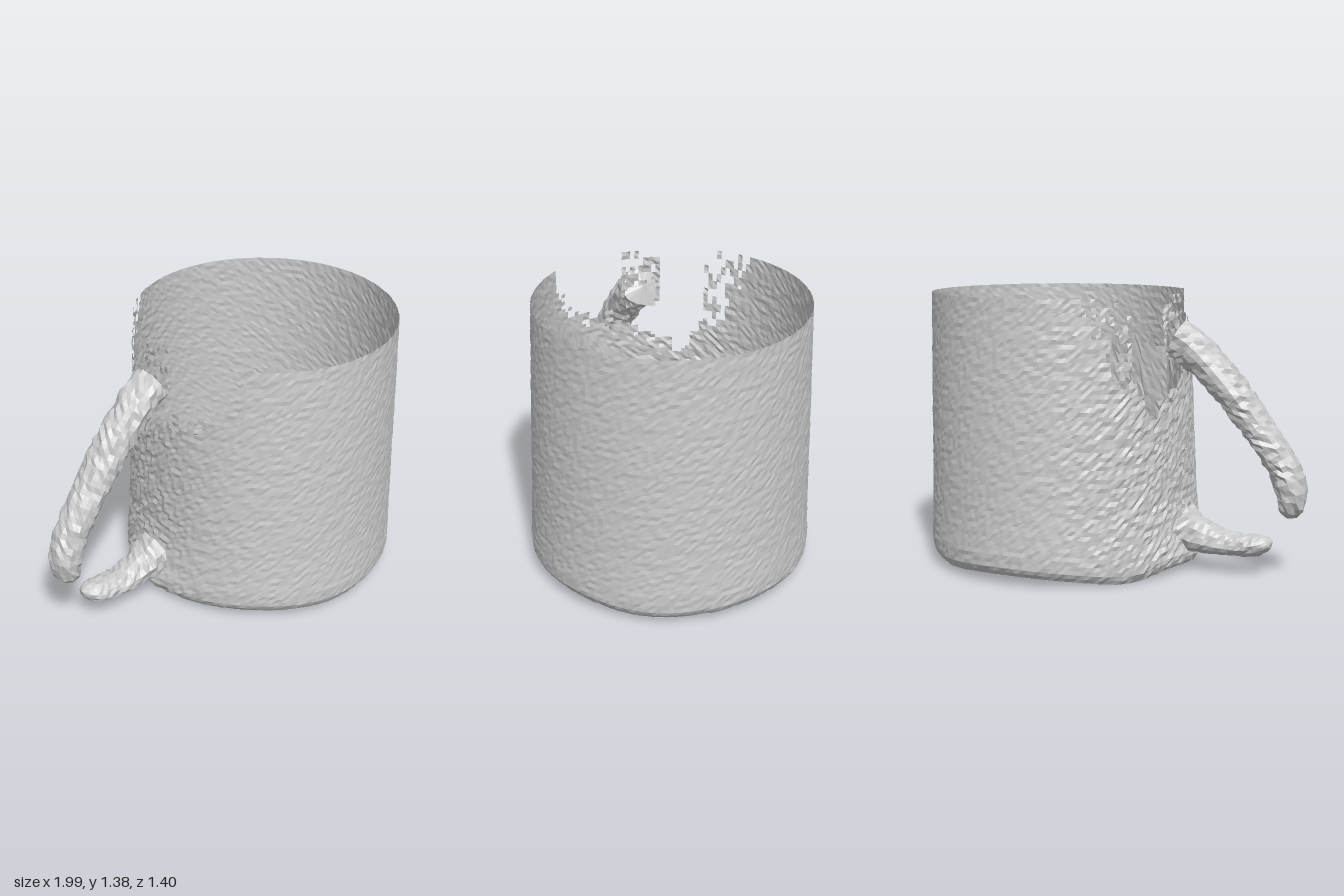
import * as THREE from 'three';

const material = new THREE.MeshStandardMaterial({
  color: 0xcccccc, flatShading: true, side: THREE.DoubleSide,
});

// Repeatable noise in 0..1 for a pair of integers
function hash(i, j) {
  const s = Math.sin(i * 127.1 + j * 311.7) * 43758.5453;
  return s - Math.floor(s);
}

// Linear interpolation through [key, value] pairs
function ramp(points, t) {
  if (t <= points[0][0]) return points[0][1];
  for (let i = 1; i < points.length; i++) {
    const [a, va] = points[i - 1], [b, vb] = points[i];
    if (t <= b) return va + (vb - va) * (t - a) / (b - a);
  }
  return points[points.length - 1][1];
}

// Bell curve centred on c with width w
const bell = (t, c, w) => Math.exp(-(((t - c) / w) ** 2));

// Grid surface closed around u; keep(i, j) decides which cells stay
function ringSurface(name, nu, nv, point, keep = () => true) {
  const positions = [], index = [];
  for (let j = 0; j <= nv; j++) {
    for (let i = 0; i < nu; i++) positions.push(...point(i, j));
  }
  for (let j = 0; j < nv; j++) {
    for (let i = 0; i < nu; i++) {
      if (!keep(i, j)) continue;
      const k = (i + 1) % nu;
      const a = j * nu + i, b = j * nu + k, c = a + nu, d = b + nu;
      index.push(a, c, b, b, c, d);
    }
  }
  const geometry = new THREE.BufferGeometry();
  geometry.setAttribute('position', new THREE.Float32BufferAttribute(positions, 3));
  geometry.setIndex(index);
  geometry.computeVertexNormals();
  const mesh = new THREE.Mesh(geometry, material);
  mesh.name = name;
  return mesh;
}

const AROUND = 180, UP = 64, TOP = 1.39;

// Angle in degrees from the handle side, positive towards the back
const degrees = (i) => (i / AROUND) * 360 - 180;

// Point on the cup at an angle, radius and height
function cupPoint(deg, r, y) {
  const a = THREE.MathUtils.degToRad(deg);
  return [0.29 + 0.025 * y / TOP - r * Math.cos(a), y, -r * Math.sin(a)];
}

// Uneven lower edge, dipping most on the back near the handle
function bottomAt(deg) {
  return 0.05 - 0.04 * bell(deg, 32, 18) + 0.008 * Math.sin(deg * 0.09);
}

const wallRadius = [[0, 0.67], [0.035, 0.695], [0.1, 0.698], [0.3, 0.688], [0.8, 0.675], [1.39, 0.657]];

// Height of the torn wall around the handle side
const tornHeight = [[-47, 1.5], [-42, 1.22], [-25, 1.05], [0, 0.95], [18, 0.83],
  [30, 0.95], [42, 1.12], [53, 1.5]];

function wall() {
  const point = (i, j) => {
    const deg = degrees(i), low = bottomAt(deg);
    const y = low + (TOP - low) * (j / UP);
    const rough = 0.005 + 0.009 * bell(deg, 15, 35);
    // sunken beside the handle, flared at its foot
    const dent = 0.025 * bell(deg, 0, 25) * ramp([[0.15, 0], [0.4, 1]], y);
    const flare = 0.03 * bell(deg, 0, 14) * ramp([[0.1, 1], [0.2, 0]], y);
    const r = ramp(wallRadius, y - low) - dent + flare + (hash(i, j) - 0.5) * rough;
    return cupPoint(deg, r, y);
  };
  const keep = (i, j) => {
    const deg = degrees(i), y = TOP * (j + 1) / UP;
    const limit = ramp(tornHeight, deg);
    const edge = limit + (hash(i >> 1, j >> 1) - 0.5) * 0.14;
    // shreds left standing beside the handle and along the back of the tear
    const nearHandle = Math.abs(deg) < 9 && y > 1.08;
    const nearBack = deg > 28 && deg < 55 && y > 1.0;
    const shred = (nearHandle || nearBack) && hash(i + 9, j >> 1) > 0.55;
    return limit > 1.48 || y < edge || shred;
  };
  return ringSurface('wall', AROUND, UP, point, keep);
}

// Height reached by the inner wall: tall at the front, low at the back
const innerHeight = [[-150, 0.45], [-136, 0.55], [-125, 1.05], [-90, 1.13], [-45, 1.1],
  [-15, 0.9], [10, 0.6], [30, 0.45]];

// Rounded rim turning inwards and rising into a torn inner wall that leans in at the front
function innerWall() {
  const lipRows = 4, rows = 36;
  const radius = [[0, 0.67], [2, 0.635], [4, 0.605]];
  const rise = [[0, 0], [2, 0], [4, 0.025]];
  const point = (i, j) => {
    const deg = degrees(i), low = bottomAt(deg);
    let r = ramp(radius, j), y = low + ramp(rise, j);
    if (j > lipRows) {
      const t = (j - lipRows) / (rows - lipRows);
      const front = Math.max(0.01, -Math.sin(THREE.MathUtils.degToRad(deg)));
      const chord = Math.min(r, 0.49 / front);
      r += (chord - r) * t;
      const ragged = (hash(i >> 1, 41) - 0.5) * 0.08 * t;
      y += (ramp(innerHeight, deg) - y) * t + ragged;
    }
    return cupPoint(deg, r + (hash(i, j + 90) - 0.5) * 0.008, y);
  };
  return ringSurface('innerWall', AROUND, rows, point);
}

// Rough bar along a curve with rounded ends; size gives [in-plane, sideways] radii
function bar(name, path, size, around, along) {
  const curve = new THREE.CatmullRomCurve3(path.map((p) => new THREE.Vector3(...p)));
  const point = (i, j) => {
    const t = j / along;
    const p = curve.getPointAt(t), d = curve.getTangentAt(t);
    const normal = new THREE.Vector3(-d.y, d.x, 0).normalize();
    const side = new THREE.Vector3().crossVectors(d, normal).normalize();
    const end = Math.min(1, (1 - t) * along / 5);
    const cap = Math.sqrt(Math.max(0, 1 - (1 - end) ** 2)) * (j === 0 ? 0 : 1);
    const a = (i / around) * Math.PI * 2;
    const wobble = cap * (1 + (hash(i, j + name.length * 17) - 0.5) * 0.2);
    p.addScaledVector(normal, Math.cos(a) * ramp(size[0], t) * wobble);
    p.addScaledVector(side, Math.sin(a) * ramp(size[1], t) * wobble);
    return p.toArray();
  };
  return ringSurface(name, around, along, point);
}

export function createModel() {
  const group = new THREE.Group();
  group.name = 'brokenMug';

  const body = new THREE.Group();
  body.name = 'body';
  body.add(wall(), innerWall());

  // Handle broken in two, with a gap between the pieces
  const handle = new THREE.Group();
  handle.name = 'handle';
  handle.add(
    bar('upperHandle',
      [[-0.32, 1.19, -0.02], [-0.42, 1.13, 0.0], [-0.6, 0.95, 0.03], [-0.76, 0.74, 0.06],
        [-0.88, 0.56, 0.08], [-0.925, 0.42, 0.09], [-0.895, 0.305, 0.1]],
      [[[0, 0.1], [0.15, 0.095], [0.5, 0.078], [1, 0.075]],
        [[0, 0.09], [0.5, 0.095], [1, 0.085]]], 20, 40),
    bar('lowerHandle',
      [[-0.34, 0.23, 0.02], [-0.45, 0.19, 0.03], [-0.6, 0.16, 0.05], [-0.74, 0.16, 0.06], [-0.835, 0.19, 0.07]],
      [[[0, 0.13], [0.2, 0.095], [0.5, 0.06], [1, 0.05]],
        [[0, 0.12], [0.3, 0.09], [1, 0.07]]], 18, 24),
  );

  group.add(body, handle);
  return group;
}
